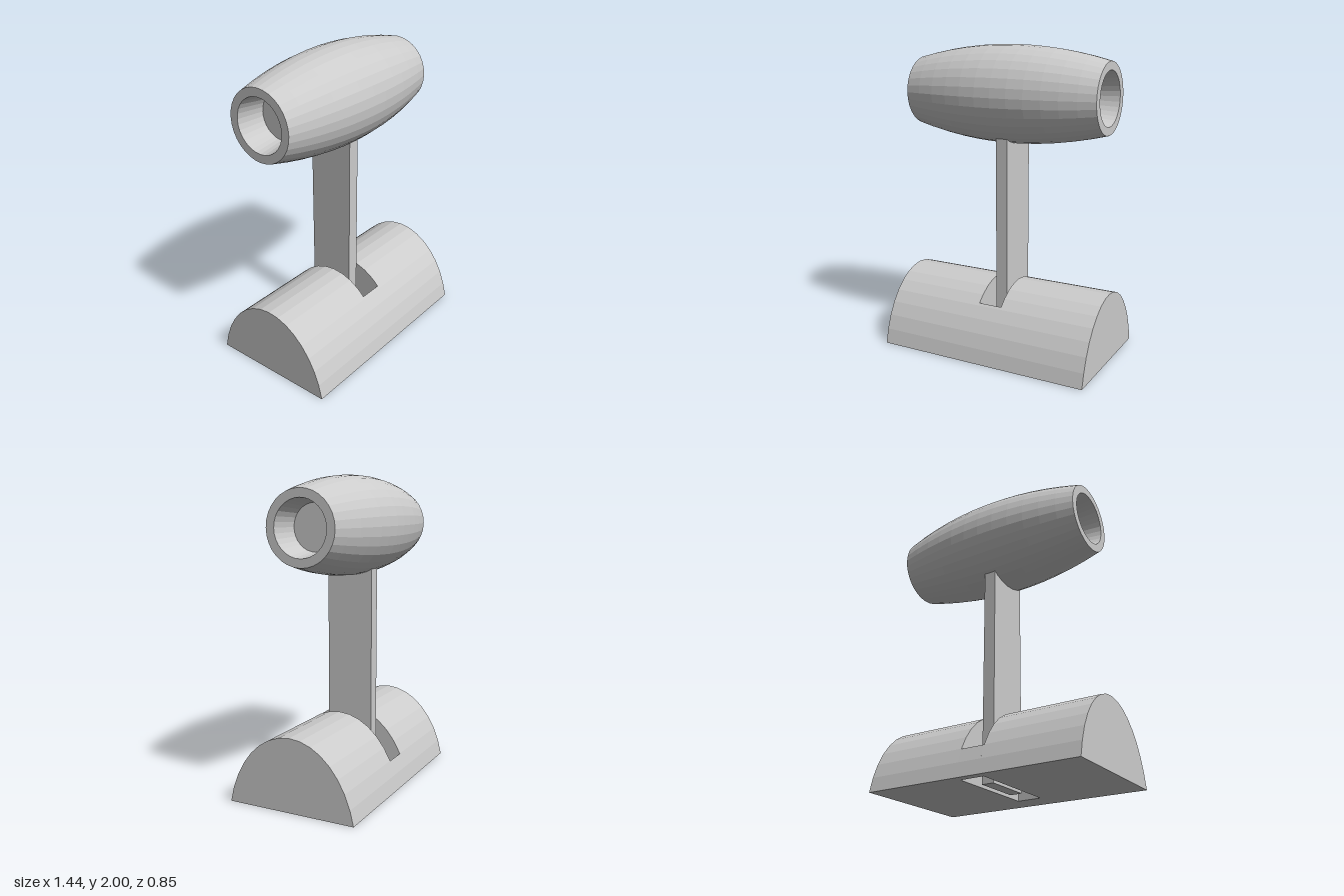
import * as THREE from 'three';

const MID_Z = -0.055;     // handle and post sit slightly behind the base centre
const material = new THREE.MeshStandardMaterial({ color: 0xcccccc, flatShading: true });

function add(parent, name, geometry, x = 0, y = 0, z = 0) {
  const mesh = new THREE.Mesh(geometry, material);
  mesh.name = name;
  mesh.position.set(x, y, z);
  parent.add(mesh);
  return mesh;
}

// Height of the domed base at depth z
const domeHeight = z => Math.max(0, -0.15 + 0.615 * Math.sqrt(1 - (z / 0.438) ** 2));

// Slice of the dome between two depths, extruded along x
function domeSlice(z0, z1, x0, x1) {
  const EDGE = 0.425, STEPS = 16;
  const end = Math.acos(-EDGE / 0.438);
  const start = Math.PI - end;
  const depths = [z0];
  for (let i = 0; i <= STEPS; i++) {
    const z = -0.438 * Math.cos(start + (end - start) * i / STEPS);
    if (z > z0 + 0.002 && z < z1 - 0.002) depths.push(z);
  }
  depths.push(z1);
  const shape = new THREE.Shape();
  shape.moveTo(-z0, 0);
  depths.forEach(z => {
    const h = domeHeight(z);
    if (h > 0.003) shape.lineTo(-z, h);
  });
  shape.lineTo(-z1, 0);
  shape.closePath();
  const geometry = new THREE.ExtrudeGeometry(shape, { depth: x1 - x0, bevelEnabled: false });
  return geometry.rotateY(Math.PI / 2).translate(x0, 0, 0);
}

export function createModel() {
  const model = new THREE.Group();
  model.name = 'hammerStand';

  // Domed base with a slot cut right through around the post
  const base = new THREE.Group();
  base.name = 'base';
  model.add(base);
  add(base, 'baseLeft', domeSlice(-0.425, 0.425, 0.08, 0.72));
  add(base, 'baseRight', domeSlice(-0.425, 0.425, -0.72, -0.08));
  add(base, 'slotFront', domeSlice(0.257, 0.425, -0.08, 0.08));
  add(base, 'slotBack', domeSlice(-0.425, -0.368, -0.08, 0.08));

  // Flat post from the slot up into the barrel
  add(model, 'post', new THREE.BoxGeometry(0.08, 1.6, 0.31), 0, 0.802, MID_Z);

  // Bulging barrel with a tapered pocket in each end
  const HALF = 0.665, RINGS = 12;
  const profile = [new THREE.Vector2(0, -HALF + 0.18), new THREE.Vector2(0.145, -HALF + 0.18),
    new THREE.Vector2(0.172, -HALF)];
  for (let i = 0; i <= RINGS; i++) {
    const t = i / RINGS * 2 - 1;
    profile.push(new THREE.Vector2(0.315 - 0.089 * t * t, HALF * t));
  }
  profile.push(new THREE.Vector2(0.172, HALF), new THREE.Vector2(0.145, HALF - 0.18),
    new THREE.Vector2(0, HALF - 0.18));
  const barrel = new THREE.LatheGeometry(profile, 32).rotateZ(-Math.PI / 2);
  add(model, 'barrel', barrel, 0, 1.685, MID_Z);

  return model;
}
